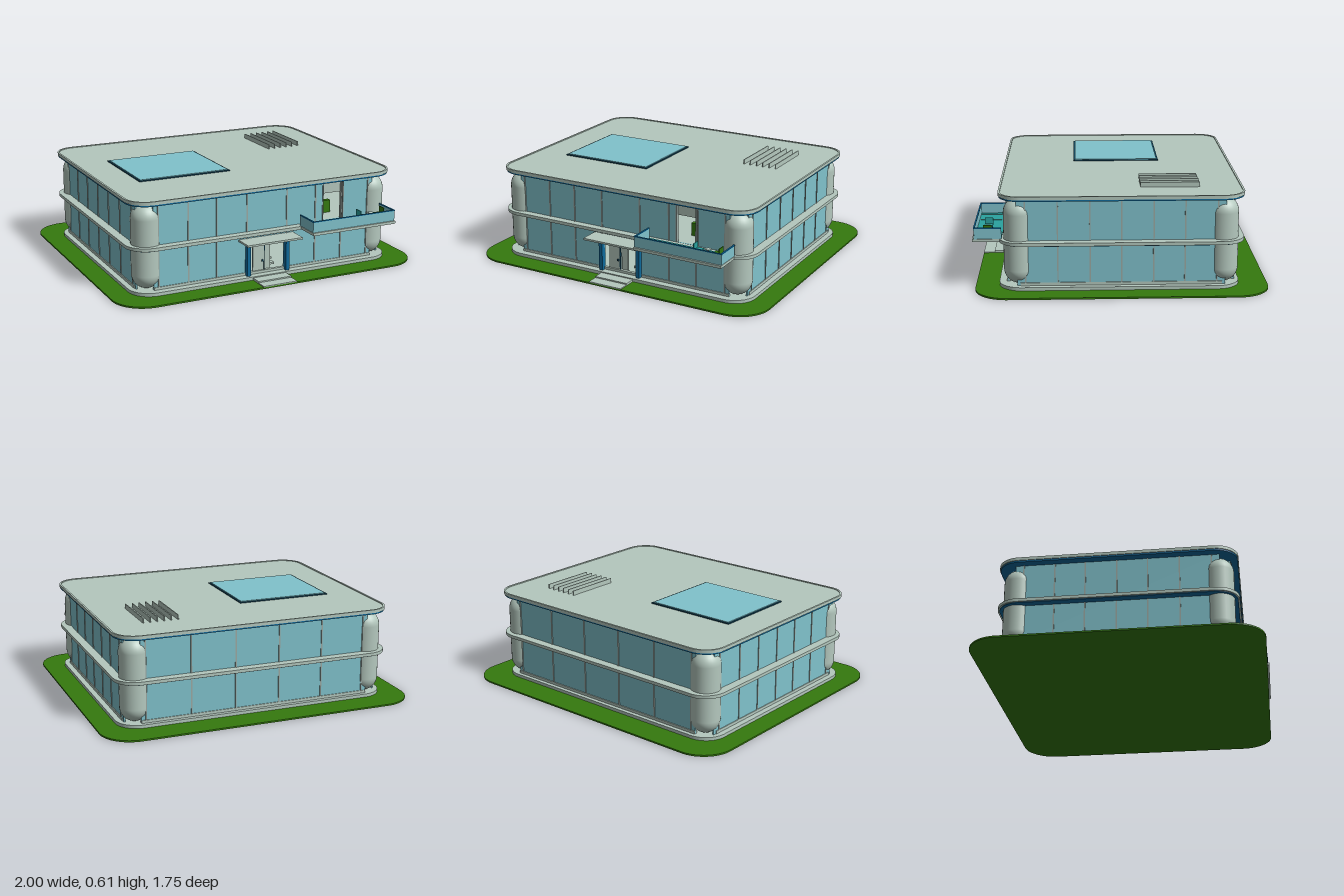
import * as THREE from 'three';

const mat = (name, color) => {
  const m = new THREE.MeshStandardMaterial({ color });
  m.name = name;
  return m;
};

export function createModel() {
  const wall = mat('pale grey green', 0xb4c8be);
  const glass = mat('glass blue', 0x80c2cc);
  const lawnGreen = mat('lawn green', 0x357a0e);
  const blue = mat('trim blue', 0x0d6a9c);
  const teal = mat('deck teal', 0x2aa3a0);
  const dark = mat('dark frame', 0x0f4258);
  const metal = mat('mullion grey', 0x9caaa4);

  const model = new THREE.Group();
  model.name = 'building';
  const add = (name, geometry, material, x = 0, y = 0, z = 0, parent = model) => {
    const mesh = new THREE.Mesh(geometry, material);
    mesh.name = name;
    mesh.position.set(x, y, z);
    parent.add(mesh);
    return mesh;
  };
  // Box given by its extents on each axis
  const box = (name, material, x0, x1, y0, y1, z0, z1, parent) =>
    add(name, new THREE.BoxGeometry(x1 - x0, y1 - y0, z1 - z0), material,
      (x0 + x1) / 2, (y0 + y1) / 2, (z0 + z1) / 2, parent);

  const roundRect = (Curve, w, d, r) => {
    const p = new Curve();
    p.moveTo(w - r, -d);
    p.absarc(w - r, -d + r, r, -Math.PI / 2, 0);
    p.absarc(w - r, d - r, r, 0, Math.PI / 2);
    p.absarc(-w + r, d - r, r, Math.PI / 2, Math.PI);
    p.absarc(-w + r, -d + r, r, Math.PI, Math.PI * 1.5);
    return p;
  };
  // Horizontal slab with rounded corners, optionally hollow with a given rim
  const slab = (name, material, w, d, r, y0, y1, z, rim = 0) => {
    const shape = roundRect(THREE.Shape, w, d, r);
    if (rim) shape.holes.push(roundRect(THREE.Path, w - rim, d - rim, r - rim));
    const g = new THREE.ExtrudeGeometry(shape, { depth: y1 - y0, bevelEnabled: false, curveSegments: 12 });
    g.rotateX(-Math.PI / 2);
    return add(name, g, material, 0, y0, z);
  };

  // Ground, plinth, floor and roof
  slab('lawn', lawnGreen, 1, 0.87, 0.2, 0, 0.01, -0.01);
  slab('plinth', wall, 0.87, 0.715, 0.14, 0.01, 0.03, 0.005);
  slab('upperFloor', wall, 0.885, 0.727, 0.14, 0.285, 0.305, -0.008);
  slab('upperFloorTrim', blue, 0.875, 0.717, 0.13, 0.281, 0.285, -0.008);
  slab('roofTrim', blue, 0.88, 0.722, 0.135, 0.553, 0.563, -0.008);
  slab('roof', wall, 0.885, 0.727, 0.14, 0.563, 0.578, -0.008);
  slab('roofLip', wall, 0.885, 0.727, 0.14, 0.578, 0.583, -0.008, 0.012);

  // Rounded corner columns
  for (const x of [-0.76, 0.76]) for (const z of [0.6, -0.61]) {
    add('cornerColumn', new THREE.CapsuleGeometry(0.09, 0.34, 10, 28), wall, x, 0.29, z);
  }

  // Front glass with openings for the entrance and the balcony door
  const front = new THREE.Shape([[-0.74, 0.03], [0.74, 0.03], [0.74, 0.555], [-0.74, 0.555]]
    .map(([x, y]) => new THREE.Vector2(x, y)));
  const opening = (x0, x1, y0, y1) => front.holes.push(new THREE.Path(
    [[x0, y0], [x0, y1], [x1, y1], [x1, y0]].map(([x, y]) => new THREE.Vector2(x, y))));
  opening(-0.12, 0.12, 0.035, 0.215);
  opening(0.39, 0.53, 0.306, 0.55);
  add('frontGlass', new THREE.ExtrudeGeometry(front, { depth: 0.01, bevelEnabled: false }), glass, 0, 0, 0.66);
  box('backGlass', glass, -0.74, 0.74, 0.03, 0.555, -0.68, -0.67);
  for (const s of [-1, 1]) {
    const x = s * 0.825;
    box('sideGlass', glass, x - 0.005, x + 0.005, 0.03, 0.555, -0.62, 0.61);
    box('sideSill', wall, x - 0.01, x + 0.01, 0.03, 0.048, -0.6, 0.59);
    for (const z of [0.56, 0.37, 0.18, -0.005, -0.195, -0.38, -0.57]) {
      box('sideMullion', metal, x - 0.009, x + 0.009, 0.03, 0.555, z - 0.004, z + 0.004);
    }
  }
  box('backSill', wall, -0.74, 0.74, 0.03, 0.048, -0.685, -0.665);
  box('frontSill', wall, -0.74, 0.74, 0.03, 0.046, 0.655, 0.675);
  for (const x of [-0.71, -0.52, -0.335, -0.135, 0.135, 0.335, 0.52, 0.71]) {
    box('frontMullion', metal, x - 0.004, x + 0.004, 0.03, 0.555, 0.656, 0.675);
  }
  for (let i = 0; i <= 5; i++) {
    const x = -0.71 + i * 0.284;
    box('backMullion', metal, x - 0.004, x + 0.004, 0.03, 0.555, -0.685, -0.666);
  }

  // Entrance with posts, canopy, door and steps
  const entrance = new THREE.Group();
  entrance.name = 'entrance';
  model.add(entrance);
  for (const s of [-1, 1]) {
    const x = s * 0.132;
    box('entrancePost', blue, x - 0.012, x + 0.012, 0.02, 0.25, 0.67, 0.7, entrance);
  }
  box('entranceBeam', blue, -0.14, 0.14, 0.213, 0.245, 0.67, 0.695, entrance);
  box('canopy', wall, -0.19, 0.18, 0.25, 0.262, 0.67, 0.797, entrance);
  box('door', wall, -0.09, -0.015, 0.035, 0.213, 0.655, 0.665, entrance);
  box('doorEdge', dark, -0.015, -0.01, 0.035, 0.213, 0.655, 0.667, entrance);
  box('doorHandle', dark, -0.03, -0.022, 0.1, 0.112, 0.665, 0.672, entrance);
  box('sidePanel', wall, -0.01, 0.035, 0.035, 0.213, 0.64, 0.65, entrance);
  box('lowerStep', wall, -0.115, 0.11, 0.01, 0.016, 0.7, 0.86, entrance);
  box('upperStep', wall, -0.115, 0.11, 0.016, 0.024, 0.7, 0.79, entrance);

  // Indoor staircase behind the entrance
  for (let i = 0; i < 11; i++) {
    const y = 0.045 + i * 0.022;
    box('stairTread', wall, 0.045, 0.092, y, y + 0.012, 0.56 - i * 0.035, 0.6 - i * 0.035);
  }

  // Balcony doorway with a lintel panel and an indoor planter
  box('doorwayPanel', wall, 0.385, 0.535, 0.475, 0.553, 0.645, 0.66);
  for (const x of [0.388, 0.532]) box('doorwayJamb', metal, x - 0.003, x + 0.003, 0.305, 0.553, 0.655, 0.675);
  box('planter', lawnGreen, 0.41, 0.525, 0.305, 0.384, 0.5, 0.53);

  // Balcony with glass railing
  const balcony = new THREE.Group();
  balcony.name = 'balcony';
  model.add(balcony);
  box('balconyFloor', wall, 0.21, 0.79, 0.288, 0.305, 0.7, 0.873, balcony);
  box('balconyDeck', teal, 0.22, 0.78, 0.305, 0.309, 0.7, 0.858, balcony);
  for (const x of [0.255, 0.385, 0.565]) {
    box('deckJoint', wall, x - 0.002, x + 0.002, 0.309, 0.311, 0.72, 0.856, balcony);
  }
  box('frontRailing', glass, 0.212, 0.788, 0.305, 0.368, 0.858, 0.863, balcony);
  box('frontHandrail', blue, 0.21, 0.79, 0.368, 0.374, 0.856, 0.865, balcony);
  for (const x of [0.216, 0.784]) {
    box('sideRailing', glass, x - 0.003, x + 0.003, 0.305, 0.368, 0.7, 0.86, balcony);
    box('sideHandrail', blue, x - 0.005, x + 0.005, 0.368, 0.374, 0.7, 0.86, balcony);
  }

  // Balcony chairs and round table
  const chair = (material, x, back) => {
    box('chairSeat', material, x - 0.024, x + 0.024, 0.335, 0.342, 0.76, 0.81, balcony);
    const bx = x + back * 0.022;
    box('chairBack', material, bx - 0.003, bx + 0.003, 0.335, 0.378, 0.76, 0.81, balcony);
    for (const dx of [-0.02, 0.02]) for (const z of [0.764, 0.806]) {
      box('chairLeg', dark, x + dx - 0.002, x + dx + 0.002, 0.309, 0.335, z - 0.002, z + 0.002, balcony);
    }
  };
  chair(teal, 0.6, -1);
  chair(lawnGreen, 0.722, 1);
  add('tableTop', new THREE.CylinderGeometry(0.017, 0.017, 0.005, 20), wall, 0.662, 0.352, 0.785, balcony);
  add('tableStem', new THREE.CylinderGeometry(0.004, 0.004, 0.042, 10), metal, 0.662, 0.33, 0.785, balcony);

  // Roof skylight and ventilation fins
  box('skylightFrame', dark, -0.662, -0.055, 0.575, 0.584, -0.275, 0.275);
  box('skylightGlass', glass, -0.652, -0.065, 0.58, 0.588, -0.265, 0.265);
  for (let i = 0; i < 6; i++) {
    const x = 0.432 + i * 0.0438;
    box('roofFin', wall, x - 0.003, x + 0.003, 0.575, 0.608, -0.477, -0.123);
  }
  return model;
}
